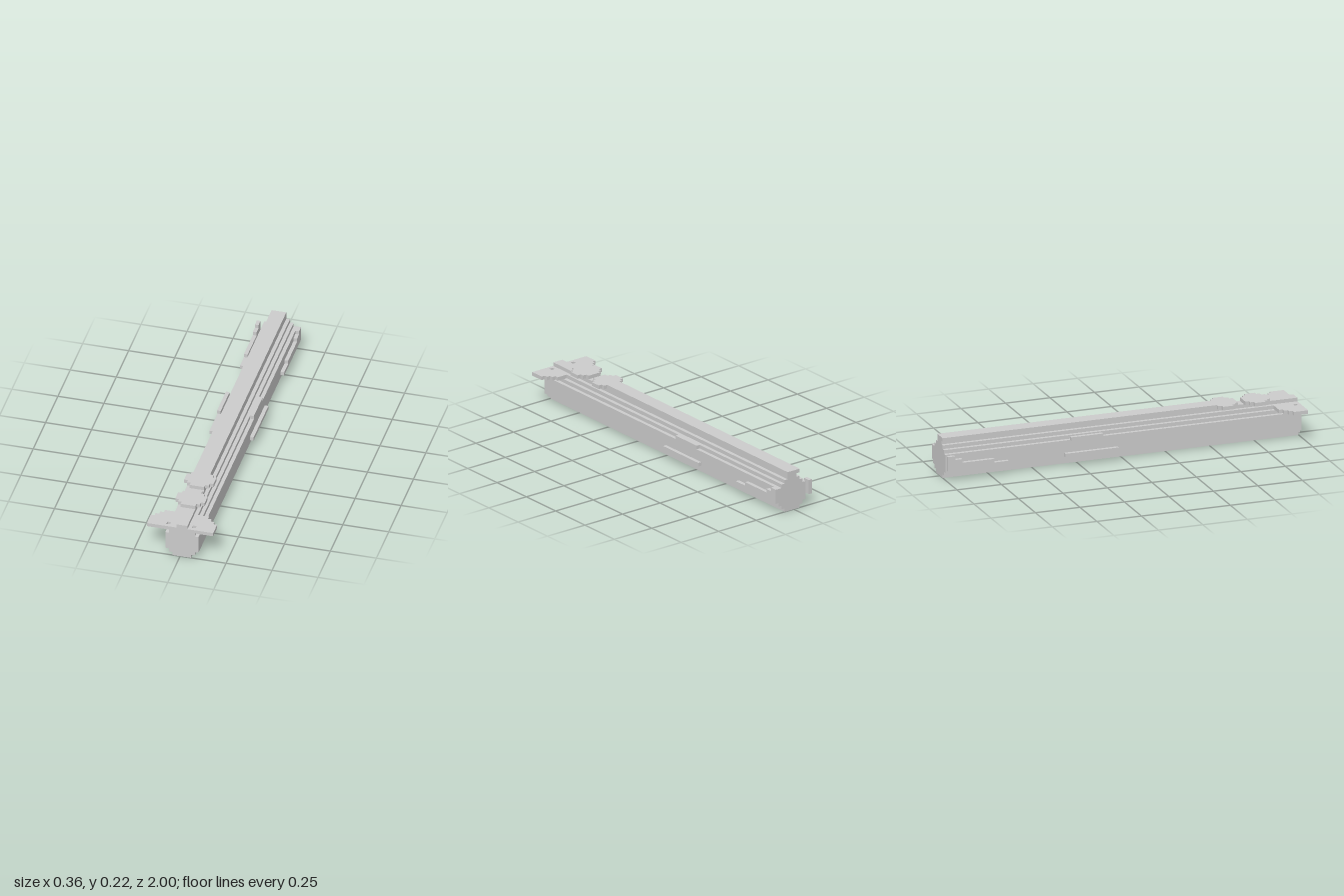
import * as THREE from 'three';

const U = 0.02; // one block of the stepped style
const material = new THREE.MeshStandardMaterial({ color: 0xcccccc, flatShading: true });

// Outline of stacked rows [from, to, left, right], joined into one stepped shape
function steppedShape(rows) {
  const right = rows.flatMap(([a, b, , r]) => [[r, a], [r, b]]);
  const left = rows.flatMap(([a, b, l]) => [[l, a], [l, b]]).reverse();
  return new THREE.Shape([...right, ...left].map(([x, y]) => new THREE.Vector2(x, y)));
}

const symmetric = (rows) => rows.map(([a, b, w]) => [a, b, -w, w]);

function extrude(shape, depth) {
  return new THREE.ExtrudeGeometry(shape, { depth, bevelEnabled: false });
}

// Flat plate lying in x/z, with its top at the given height
function flatPlate(shape, top) {
  return extrude(shape, U).rotateX(Math.PI / 2).translate(0, top, 0);
}

export function createModel() {
  const group = new THREE.Group();
  const add = (name, geometry) => {
    const mesh = new THREE.Mesh(geometry, material);
    mesh.name = name;
    group.add(mesh);
    return mesh;
  };

  // Long body with stepped cross-section and the narrow ridge on top
  const section = steppedShape([
    [0, 0.02, -0.04, 0.06],
    [0.02, 0.04, -0.06, 0.08],
    [0.04, 0.14, -0.08, 0.10],
    [0.14, 0.16, -0.06, 0.08],
    [0.16, 0.18, -0.04, 0.06],
    [0.18, 0.20, -0.02, 0.04],
  ]);
  add('body', extrude(section, 2).translate(0, 0, -1));

  // Top rail ending in a rounded head
  add('topRail', flatPlate(steppedShape(symmetric([
    [-1, 0.54, 0.04], [0.54, 0.56, 0.06], [0.56, 0.62, 0.08],
    [0.62, 0.64, 0.06], [0.64, 0.66, 0.04],
  ])), 0.22));

  // Separate disc in front of the rail
  add('topDisc', flatPlate(steppedShape(symmetric([
    [0.70, 0.72, 0.04], [0.72, 0.74, 0.06], [0.74, 0.80, 0.08],
    [0.80, 0.82, 0.06], [0.82, 0.84, 0.04],
  ])), 0.22));

  // Front wing plate with two small square holes
  const wing = steppedShape(symmetric([
    [0.86, 0.88, 0.12], [0.88, 0.90, 0.14], [0.90, 0.92, 0.16], [0.92, 1, 0.18],
  ]));
  for (const x of [-0.08, 0.06]) {
    wing.holes.push(new THREE.Path([[x, 0.96], [x, 0.98], [x + U, 0.98], [x + U, 0.96]]
      .map(([a, b]) => new THREE.Vector2(a, b))));
  }
  add('frontWing', flatPlate(wing, 0.18));

  // Side details, the same on both sides
  const tail = steppedShape([
    [0.06, 0.08, -1, -0.66], [0.08, 0.10, -1, -0.74],
    [0.10, 0.12, -1, -0.92], [0.12, 0.14, -1, -0.96],
  ]);
  for (const [side, s] of [['left', 1], ['right', -1]]) {
    add(side + 'UpperBlock', new THREE.BoxGeometry(U, U, 0.18)).position.set(s * 0.09, 0.15, -0.21);
    add(side + 'SideBar', new THREE.BoxGeometry(U, U, 0.30)).position.set(s * 0.11, 0.07, -0.19);
    add(side + 'TailPlate', extrude(tail, U).rotateY(-Math.PI / 2).translate(s * 0.11 + U / 2, 0, 0));
  }
  return group;
}
